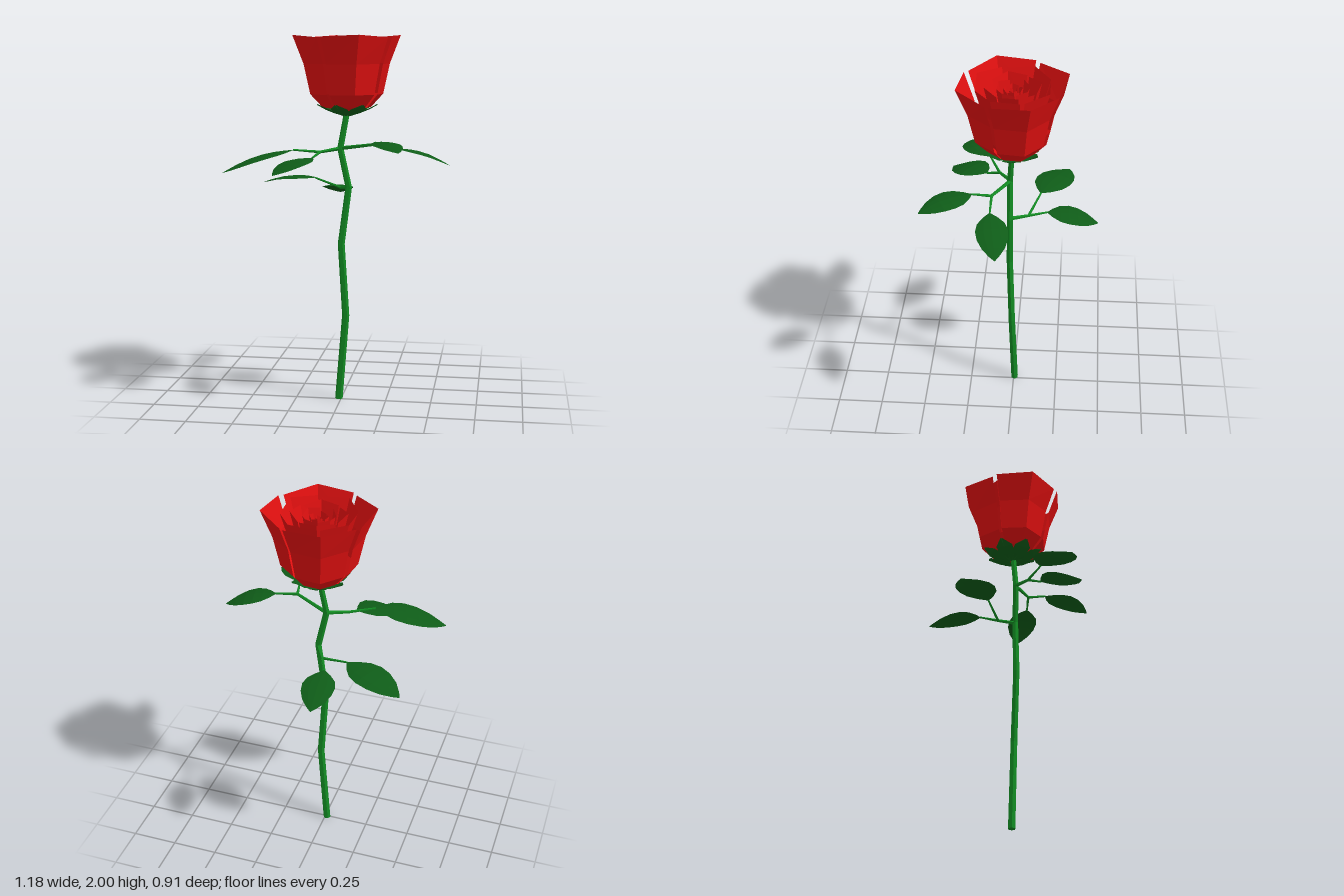
import * as THREE from 'three';

const V = (x, y, z) => new THREE.Vector3(x, y, z);
const paint = (color) => new THREE.MeshStandardMaterial({ color, flatShading: true, side: THREE.DoubleSide });

// Surface through a grid of points: rows of equal length
function sheet(rows) {
  const n = rows[0].length, index = [];
  for (let i = 0; i < rows.length - 1; i++) {
    for (let j = 0; j < n - 1; j++) {
      const a = i * n + j, b = a + n;
      index.push(a, a + 1, b, a + 1, b + 1, b);
    }
  }
  const geo = new THREE.BufferGeometry().setFromPoints(rows.flat());
  geo.setIndex(index);
  geo.computeVertexNormals();
  return geo;
}

// Faceted stalk with mitred bends and closed ends
function stalk(points, r0, r1, sides = 6) {
  const last = points.length - 1;
  const rows = points.map((p, i) => {
    const dir = points[Math.min(i + 1, last)].clone().sub(points[Math.max(i - 1, 0)]).normalize();
    const ref = Math.abs(dir.y) > 0.8 ? V(0, 0, 1) : V(0, 1, 0);
    const u = ref.cross(dir).normalize();
    const v = dir.clone().cross(u);
    const r = THREE.MathUtils.lerp(r0, r1, i / last);
    return Array.from({ length: sides + 1 }, (_, j) => {
      const a = (j / sides) * Math.PI * 2;
      return p.clone().addScaledVector(u, r * Math.cos(a)).addScaledVector(v, r * Math.sin(a));
    });
  });
  const cap = (p) => Array.from({ length: sides + 1 }, () => p.clone());
  return sheet([cap(points[0]), ...rows, cap(points[last])]);
}

// Arched leaf blade from base to tip
function leafBlade(base, tip, width) {
  const outline = [[0, 0.06], [0.1, 0.45], [0.25, 0.85], [0.42, 1], [0.6, 0.94], [0.78, 0.68], [0.92, 0.3], [1, 0.02]];
  const side = V(tip.z - base.z, 0, base.x - tip.x).normalize();
  return sheet(outline.map(([t, w]) => {
    const mid = base.clone().lerp(tip, t);
    mid.y += 0.025 * Math.sin(Math.PI * t);
    return [-1, -0.5, 0, 0.5, 1].map((s) => {
      const p = mid.clone().addScaledVector(side, s * w * width / 2);
      p.y -= 0.012 * w * s * s;
      return p;
    });
  }));
}

// Cupped petal of three columns: profile of [radius, height]
function petalSheet(scale, drop) {
  const profile = [[0.02, 1.6], [0.13, 1.62], [0.195, 1.69], [0.23, 1.85], [0.288, 2 - drop]];
  const columns = [[-42, 0.915, -0.012], [0, 1.02, 0], [42, 0.945, -0.008]];
  return sheet(profile.map(([r, y], i) => columns.map(([deg, k, dy]) => {
    const a = THREE.MathUtils.degToRad(deg);
    return V(r * k * scale * Math.cos(a), y + (i === 4 ? dy : 0), r * k * scale * Math.sin(a));
  })));
}

export function createModel() {
  const group = new THREE.Group();
  const stemGreen = paint(0x128a22), leafGreen = paint(0x0f5c18), red = paint(0xe01010);
  const add = (name, geo, mat, parent = group) => {
    const mesh = new THREE.Mesh(geo, mat);
    mesh.name = name;
    parent.add(mesh);
    return mesh;
  };

  // Crooked main stem
  add('stem', stalk([
    V(-0.012, 0, -0.006), V(0.028, 0.48, 0.008), V(0.005, 0.88, 0.02),
    V(0.045, 1.19, 0.016), V(0, 1.4, 0.018), V(0.035, 1.6, 0.005),
  ], 0.021, 0.016), stemGreen);

  // Three forked twigs, each with two leaves: [base, tip, width]
  const twigs = [
    { from: V(0, 1.4, 0.015), fork: V(0.19, 1.43, 0.1), leaves: [
      [V(0.315, 1.41, 0.1), V(0.59, 1.32, 0.055), 0.165],
      [V(0.21, 1.45, 0.2), V(0.355, 1.42, 0.455), 0.16]] },
    { from: V(0, 1.4, 0.015), fork: V(-0.1, 1.385, 0.08), leaves: [
      [V(-0.235, 1.4, 0.14), V(-0.59, 1.285, 0.27), 0.21],
      [V(-0.13, 1.36, 0.15), V(-0.305, 1.285, 0.35), 0.19]] },
    { from: V(0.045, 1.19, 0.015), fork: V(-0.01, 1.175, -0.08), leaves: [
      [V(-0.165, 1.22, -0.14), V(-0.49, 1.17, -0.29), 0.2],
      [V(-0.055, 1.17, -0.18), V(-0.07, 1.1, -0.455), 0.175]] },
  ];
  for (const { from, fork, leaves } of twigs) {
    add('twig', stalk([from, fork], 0.011, 0.008, 5), stemGreen);
    for (const [base, tip, width] of leaves) {
      add('leafStalk', stalk([fork, base], 0.008, 0.005, 5), stemGreen);
      add('leaf', leafBlade(base, tip, width), leafGreen);
    }
  }

  // Flower head
  const flower = new THREE.Group();
  flower.name = 'flower';
  flower.position.x = 0.033;
  group.add(flower);

  // Calyx of pointed sepals: rows of [radius, height, half width]
  const sepal = sheet([[0.012, 1.57, 0.008], [0.07, 1.588, 0.042], [0.12, 1.608, 0.048], [0.165, 1.633, 0.004]]
    .map(([r, y, w]) => [V(r, y + 0.006, -w), V(r, y, 0), V(r, y + 0.006, w)]));
  for (let i = 0; i < 7; i++) {
    add('sepal', sepal, leafGreen, flower).rotation.y = (i / 7) * Math.PI * 2;
  }

  // Nested whorls of four petals, each turned against the one outside it
  [1, 0.72, 0.5, 0.31, 0.17, 0.07].forEach((scale, ring) => {
    const petal = petalSheet(scale, ring * 0.008);
    for (let i = 0; i < 4; i++) {
      const turn = 20 + ring * 42 + i * 90;
      add('petal', petal, red, flower).rotation.y = THREE.MathUtils.degToRad(turn);
    }
  });

  return group;
}
